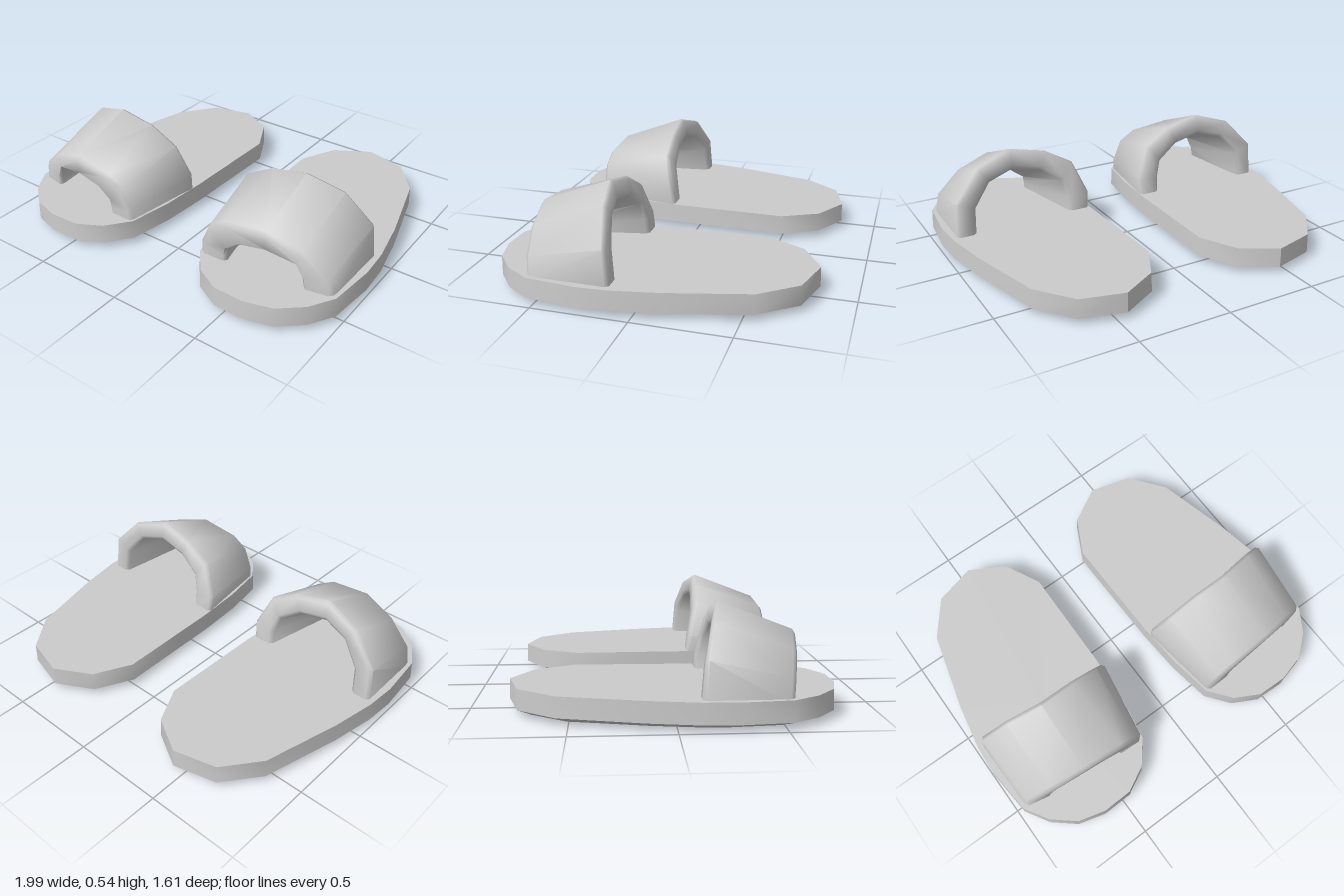
import * as THREE from 'three';
import { toCreasedNormals } from 'three/addons/utils/BufferGeometryUtils.js';

const material = new THREE.MeshStandardMaterial({ color: 0xcccccc });

// Skin a row of closed rings and cap both ends; side = -1 mirrors across x.
function loft(rings, side, crease) {
  const n = rings[0].length, pos = [], index = [];
  const tri = (a, b, c) => index.push(...(side > 0 ? [a, b, c] : [a, c, b]));
  const add = (p) => pos.push(p.x * side, p.y, p.z) / 3 - 1;
  rings.forEach((ring) => ring.forEach(add));
  const middle = (ring) => add(ring.reduce((s, p) => s.add(p), new THREE.Vector3()).divideScalar(n));
  const start = middle(rings[0]), end = middle(rings.at(-1));
  const last = (rings.length - 1) * n;
  for (let j = 0; j < n; j++) {
    const k = (j + 1) % n;
    for (let i = 0; i < last; i += n) {
      tri(i + j, i + n + j, i + k);
      tri(i + k, i + n + j, i + n + k);
    }
    tri(start, j, k);
    tri(end, last + k, last + j);
  }
  const geometry = new THREE.BufferGeometry();
  geometry.setAttribute('position', new THREE.Float32BufferAttribute(pos, 3));
  geometry.setIndex(index);
  return toCreasedNormals(geometry, crease);
}

// Footprint of the left sole as [x, z], from the heel round the outer side.
const footprint = [
  [0.45, -0.81], [0.68, -0.75], [0.83, -0.56], [0.94, -0.14], [0.985, 0.1], [0.995, 0.27],
  [0.97, 0.53], [0.89, 0.66], [0.77, 0.76], [0.62, 0.8], [0.455, 0.795], [0.32, 0.725],
  [0.22, 0.6], [0.18, 0.36], [0.163, 0.1], [0.16, -0.1], [0.153, -0.5], [0.255, -0.7],
];

// Sole levels: height, x scale, z scale.
const soleLevels = [[0, 0.4, 0.5], [0.008, 0.84, 0.91], [0.036, 1, 1], [0.14, 0.99, 0.997]];

// Strap stations from the outer foot over the arch to the inner foot.
// Corners: outer back, outer front, inner front, inner back.
const strapStations = [
  [[0.955, 0.12, 0.11], [0.95, 0.12, 0.53], [0.8, 0.12, 0.56], [0.85, 0.12, 0.11]],
  [[0.945, 0.325, 0.125], [0.925, 0.23, 0.54], [0.79, 0.19, 0.565], [0.84, 0.28, 0.125]],
  [[0.8, 0.487, 0.17], [0.79, 0.337, 0.57], [0.763, 0.26, 0.575], [0.74, 0.4, 0.16]],
  [[0.6, 0.547, 0.21], [0.605, 0.397, 0.6], [0.61, 0.285, 0.59], [0.6, 0.44, 0.185]],
  [[0.4, 0.503, 0.2], [0.375, 0.367, 0.61], [0.47, 0.265, 0.6], [0.44, 0.405, 0.18]],
  [[0.24, 0.412, 0.19], [0.285, 0.312, 0.61], [0.392, 0.207, 0.6], [0.32, 0.32, 0.165]],
  [[0.163, 0.23, 0.15], [0.235, 0.2, 0.605], [0.388, 0.17, 0.6], [0.29, 0.22, 0.145]],
  [[0.17, 0.12, 0.135], [0.235, 0.12, 0.605], [0.385, 0.12, 0.6], [0.29, 0.12, 0.135]],
];

// Replace each corner of a strap section with a small bevel.
function bevelSection(corners, size) {
  const pts = corners.map((c) => new THREE.Vector3(...c));
  return pts.flatMap((p, i) => [pts[(i + 3) % 4], pts[(i + 1) % 4]].map((q) =>
    p.clone().addScaledVector(q.clone().sub(p).normalize(), size)));
}

function makeSandal(side) {
  const sandal = new THREE.Group();
  sandal.name = side > 0 ? 'leftSandal' : 'rightSandal';

  const soleRings = soleLevels.map(([y, sx, sz]) => footprint.map(([x, z]) =>
    new THREE.Vector3(0.575 + (x - 0.575) * sx, y, z * sz)));
  const sole = new THREE.Mesh(loft(soleRings, side, 0.7), material);
  sole.name = 'sole';

  const strapRings = strapStations.map((s) => bevelSection(s, 0.018));
  const strap = new THREE.Mesh(loft(strapRings, side, 0.95), material);
  strap.name = 'strap';

  sandal.add(sole, strap);
  return sandal;
}

export function createModel() {
  const model = new THREE.Group();
  model.name = 'slideSandals';
  model.add(makeSandal(1), makeSandal(-1));
  return model;
}
